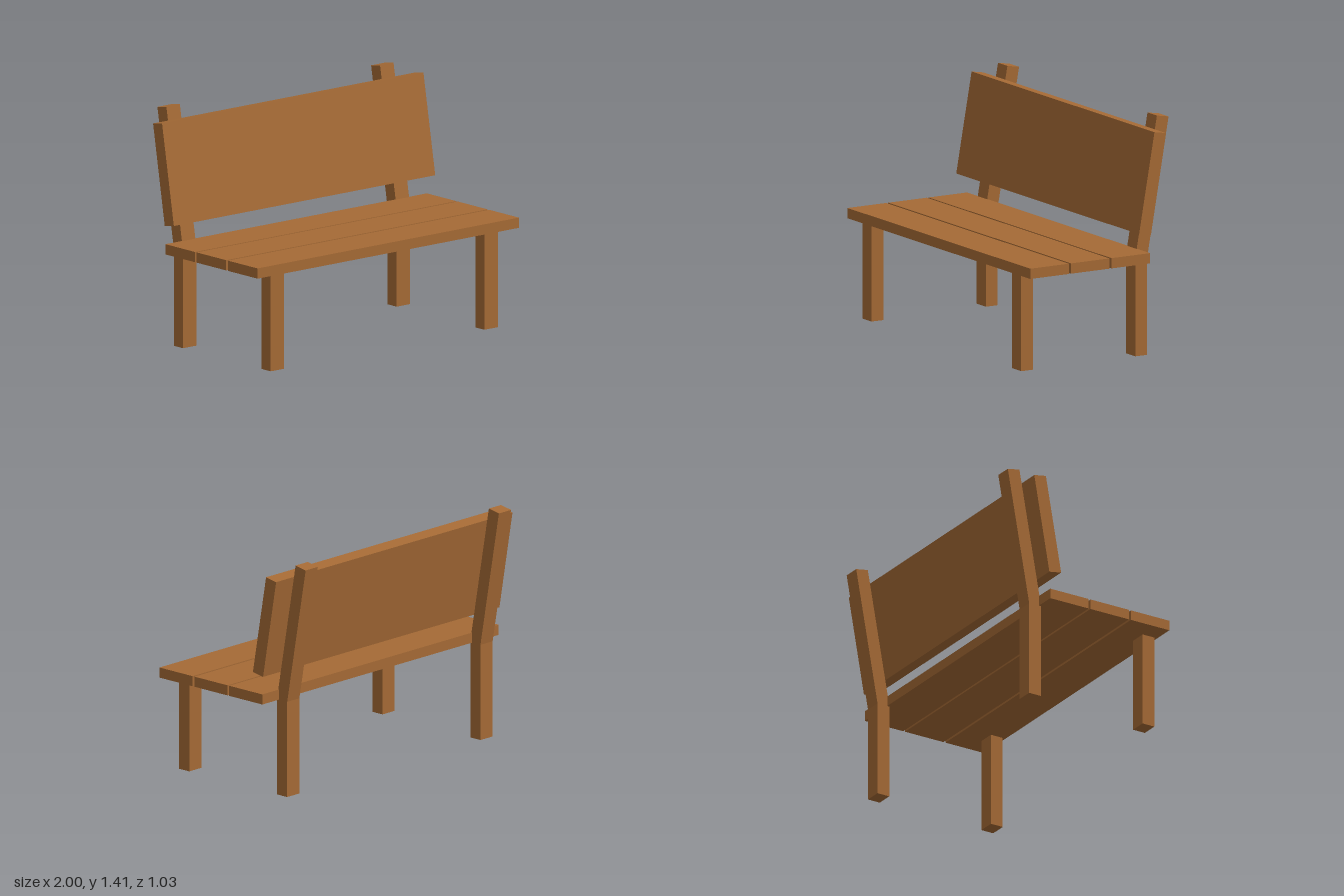
import * as THREE from 'three';

export function createModel() {
  const bench = new THREE.Group();
  bench.name = 'bench';
  const wood = new THREE.MeshStandardMaterial({ color: 0xa56a35, flatShading: true });

  // Extrudes a side profile of [z, y] points along x, centred on the given x
  function board(name, profile, width, x = 0) {
    const shape = new THREE.Shape(profile.map(([z, y]) => new THREE.Vector2(-z, y)));
    const geometry = new THREE.ExtrudeGeometry(shape, { depth: width, bevelEnabled: false });
    geometry.translate(0, 0, -width / 2).rotateY(Math.PI / 2);
    const mesh = new THREE.Mesh(geometry, wood);
    mesh.name = name;
    mesh.position.x = x;
    bench.add(mesh);
  }

  const rect = (z0, z1, y0, y1) => [[z0, y0], [z1, y0], [z1, y1], [z0, y1]];

  // Three seat planks with narrow gaps
  [0.387, 0.108, -0.169].forEach((z, i) => {
    board(`seatPlank${i + 1}`, rect(z + 0.132, z - 0.132, 0.575, 0.636), 2);
  });

  // Legs: straight at the front, bent into leaning back posts at the rear
  const rearProfile = [
    [-0.287, 0], [-0.368, 0], [-0.368, 0.575],
    [-0.515, 1.398], [-0.435, 1.412], [-0.287, 0.582],
  ];
  for (const [side, x] of [['Right', -0.826], ['Left', 0.809]]) {
    board(`frontLeg${side}`, rect(0.494, 0.413, 0, 0.57), 0.103, x);
    board(`rearLeg${side}`, rearProfile, 0.103, x);
  }

  // Leaning backrest board
  board('backrest', [[-0.226, 0.757], [-0.307, 0.743], [-0.411, 1.336], [-0.331, 1.35]], 2);

  return bench;
}
